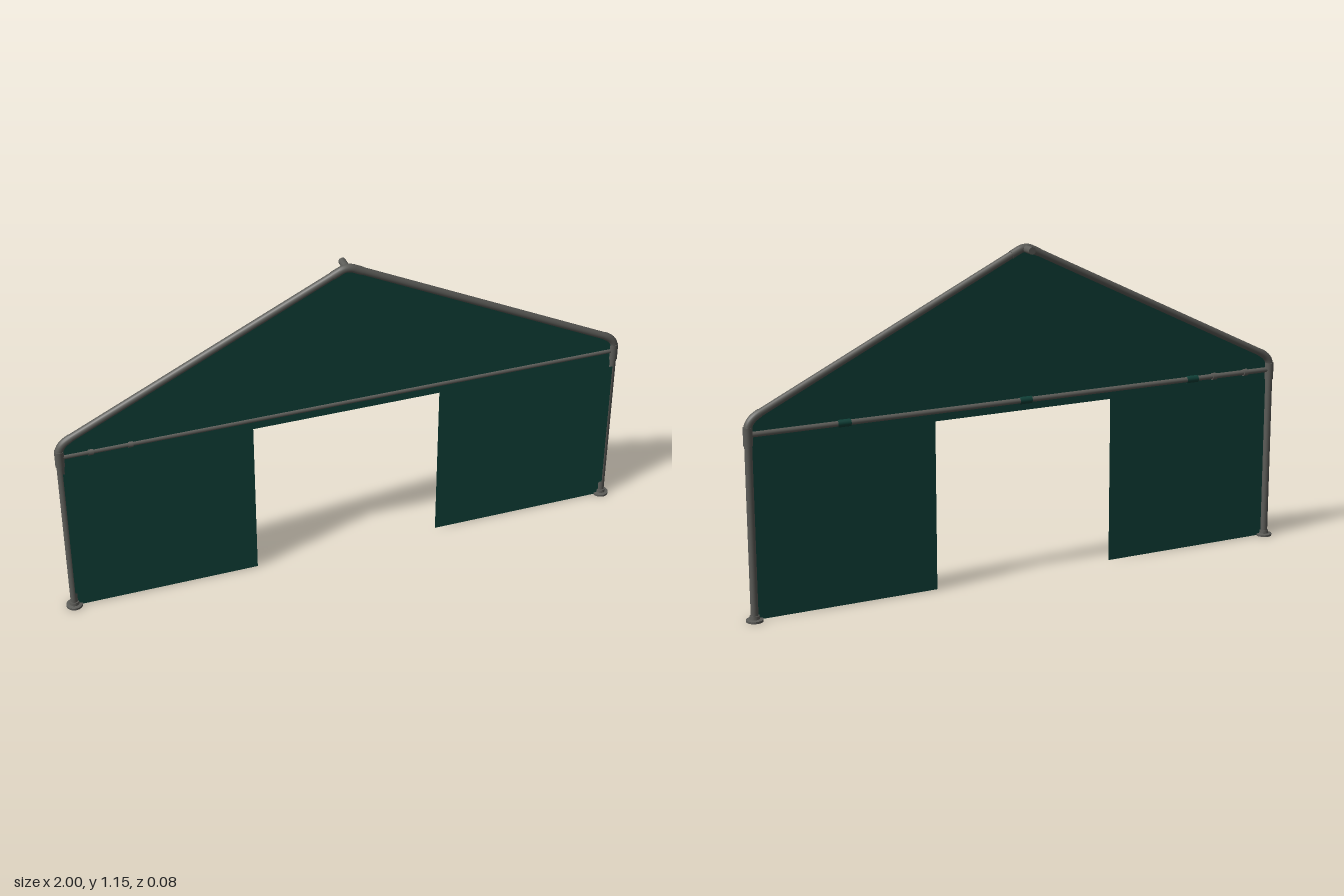
import * as THREE from 'three';

const Z = 0.012;      // plane of the pipe frame
const PX = 0.972;     // post position
const R = 0.0125;     // pipe radius
const BAR_Y = 0.62;
const roofY = (x) => 1.141 - 0.488 * Math.abs(x);
const v = (x, y, z = Z) => new THREE.Vector3(x, y, z);

export function createModel() {
  const model = new THREE.Group();
  const mat = (name, color) => {
    const m = new THREE.MeshStandardMaterial({ color });
    m.name = name;
    return m;
  };
  const steel = mat('grey steel', 0x5c5c58);
  const fabric = mat('dark green fabric', 0x0f4038);
  fabric.side = THREE.DoubleSide;

  const add = (name, geo, material, x = 0, y = 0, z = 0) => {
    const mesh = new THREE.Mesh(geo, material);
    mesh.name = name;
    mesh.position.set(x, y, z);
    model.add(mesh);
    return mesh;
  };
  // Straight pipe between two points
  const pipe = (name, a, b, r) => {
    const mesh = add(name, new THREE.CylinderGeometry(r, r, a.distanceTo(b), 20), steel);
    mesh.position.copy(a).add(b).multiplyScalar(0.5);
    mesh.quaternion.setFromUnitVectors(v(0, 1, 0), b.clone().sub(a).normalize());
    return mesh;
  };
  // Rounded bend from a to b, pulled towards corner c
  const bend = (name, a, c, b, r) =>
    add(name, new THREE.TubeGeometry(new THREE.QuadraticBezierCurve3(a, c, b), 12, r, 16), steel);

  for (const s of [1, -1]) {
    const side = s > 0 ? 'left' : 'right';
    // Post with round foot
    pipe(side + 'Post', v(s * PX, 0), v(s * PX, 0.645), R);
    const foot = [[0, 0], [0.028, 0], [0.028, 0.007], [0.017, 0.009], [0.016, 0.02], [0, 0.02]]
      .map(([x, y]) => new THREE.Vector2(x, y));
    const footGeo = new THREE.LatheGeometry(foot, 28).toNonIndexed();
    footGeo.computeVertexNormals();
    add(side + 'Foot', footGeo, steel, s * PX, 0, Z);

    // Eave elbow: sleeve on the post and bend into the rafter
    pipe(side + 'EaveSleeve', v(s * PX, 0.585), v(s * PX, 0.645), 0.0155);
    bend(side + 'EaveElbow', v(s * PX, 0.635), v(s * PX, roofY(PX)), v(s * 0.93, roofY(0.93)), 0.0138);

    // Rafter and ridge sleeve
    pipe(side + 'Rafter', v(s * 0.935, roofY(0.935)), v(s * 0.03, roofY(0.03)), R);
    pipe(side + 'RidgeSleeve', v(s * 0.05, roofY(0.05)), v(s * 0.022, roofY(0.022)), 0.0138);

    // Fabric hem wrapped over the front of the post
    const hem = new THREE.PlaneGeometry(0.02, 0.5);
    add(side + 'PostHem', hem, fabric, s * 0.958, 0.31, 0.0256);
  }

  // Ridge elbow and the stub of the ridge pole behind it
  bend('ridgeElbow', v(-0.025, roofY(0.025)), v(0, roofY(0) + 0.001), v(0.025, roofY(0.025)), 0.0138);
  pipe('ridgePoleStub', v(0, 1.133, Z), v(0, 1.133, -0.04), R);

  // Cross bar with collars
  pipe('crossBar', v(-PX, BAR_Y), v(PX, BAR_Y), 0.009);
  for (const x of [-0.87, -0.74]) pipe('barCollar', v(x - 0.008, BAR_Y), v(x + 0.008, BAR_Y), 0.0122);

  // Fabric straps looped behind the bar
  for (const x of [-0.65, 0, 0.65]) {
    const strap = new THREE.CylinderGeometry(0.0125, 0.0125, 0.045, 16, 1, true, Math.PI / 2, Math.PI);
    strap.rotateZ(Math.PI / 2);
    add('barStrap', strap, fabric, x, BAR_Y, Z);
  }

  // End wall sheet with door opening
  const wall = new THREE.Shape();
  const e = 0.966;
  [[-e, 0.002], [-0.328, 0.002], [-0.328, 0.585], [0.328, 0.585], [0.328, 0.002], [e, 0.002],
    [e, roofY(e) - 0.012], [0, roofY(0) - 0.012], [-e, roofY(e) - 0.012]]
    .forEach(([x, y], i) => (i ? wall.lineTo(x, y) : wall.moveTo(x, y)));
  add('endWall', new THREE.ShapeGeometry(wall), fabric, 0, 0, 0.016);

  return model;
}
